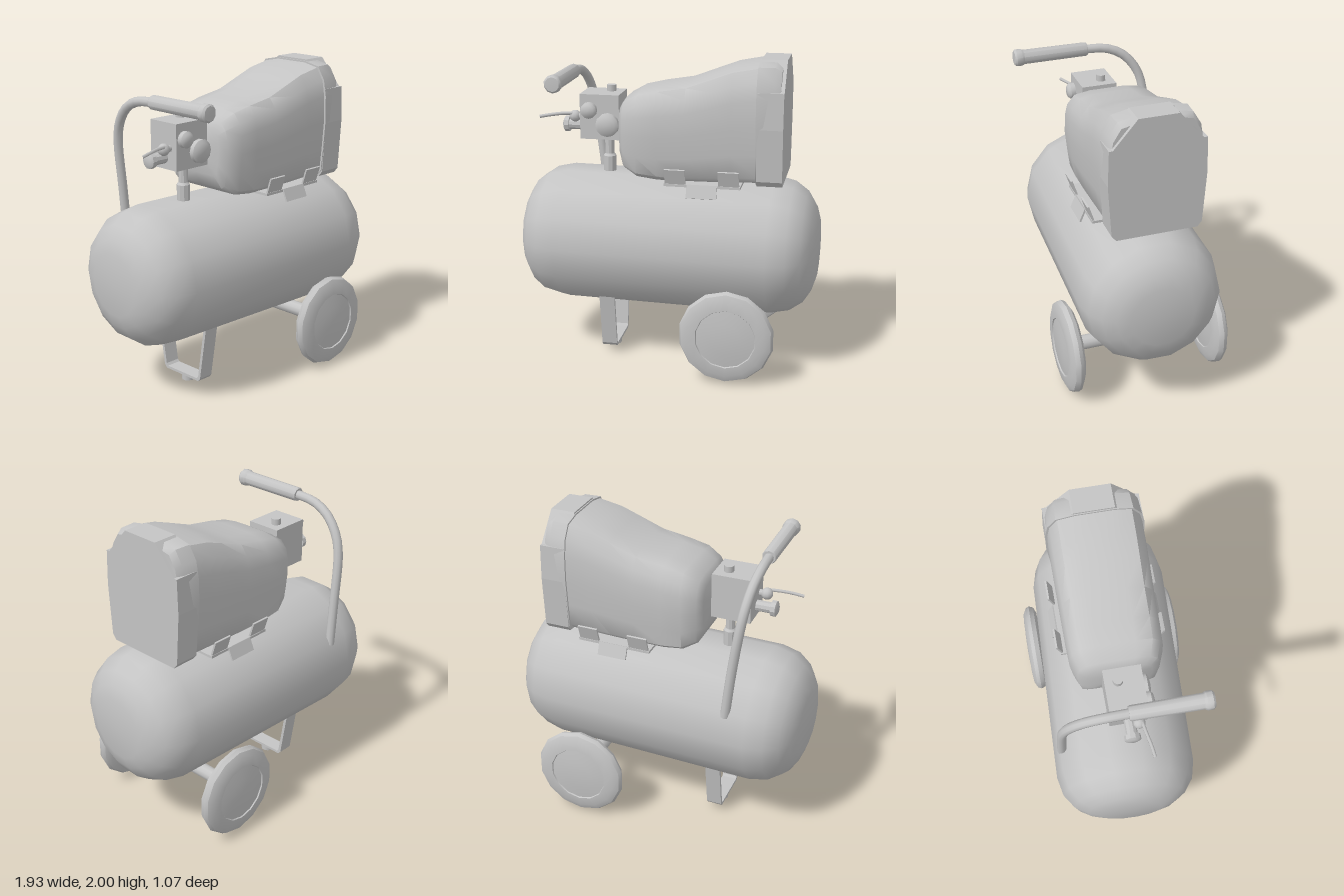
import * as THREE from 'three';
import { toCreasedNormals } from 'three/addons/utils/BufferGeometryUtils.js';

const grey = new THREE.MeshStandardMaterial({ color: 0xc4c4c4 });
const V = (x, y, z) => new THREE.Vector3(x, y, z);

export function createModel() {
  const model = new THREE.Group();

  const add = (name, geo, x = 0, y = 0, z = 0, parent = model) => {
    const mesh = new THREE.Mesh(geo, grey);
    mesh.name = name;
    mesh.position.set(x, y, z);
    parent.add(mesh);
    return mesh;
  };
  const box = (w, h, d) => new THREE.BoxGeometry(w, h, d);
  // Lathe around y from [radius, height] pairs, heights rising
  const lathe = (pts, sides, crease = 0.6) => toCreasedNormals(
    new THREE.LatheGeometry(pts.map(([r, h]) => new THREE.Vector2(r, h)), sides), crease);
  const tube = (pts, r, steps, sides) =>
    new THREE.TubeGeometry(new THREE.CatmullRomCurve3(pts), steps, r, sides);
  // Outline in the z-y plane, extruded along +x
  const extrudeX = (pts, depth) => new THREE.ExtrudeGeometry(
    new THREE.Shape(pts.map(([z, y]) => new THREE.Vector2(-z, y))),
    { depth, bevelEnabled: false }).rotateY(Math.PI / 2);
  // Mirrors half an outline across z = 0
  const mirrored = half => [...half, ...half.slice().reverse().map(([z, y]) => [-z, y])];

  // Skins one outline (fractions of width and height) over sections [x, bottom, top, halfWidth]
  const loft = (outline, sections) => {
    const pos = [], index = [], n = outline.length;
    for (const [x, bottom, top, w] of sections)
      for (const [u, v] of outline) pos.push(x, bottom + v * (top - bottom), u * w);
    for (let i = 0; i < sections.length - 1; i++)
      for (let j = 0; j < n; j++) {
        const a = i * n + j, b = i * n + (j + 1) % n, c = a + n, d = b + n;
        index.push(a, c, b, b, c, d);
      }
    const geo = new THREE.BufferGeometry();
    geo.setAttribute('position', new THREE.Float32BufferAttribute(pos, 3));
    geo.setIndex(index);
    return toCreasedNormals(geo, 0.75);
  };

  // Air tank, turned slightly off the x axis
  const end = [[0, 0.962], [0.2, 0.96], [0.28, 0.935], [0.36, 0.885], [0.42, 0.8], [0.447, 0.68]];
  const tank = add('tank', lathe([
    ...end.map(([r, h]) => [r, -h]), ...end.slice().reverse(),
  ], 14, 1).rotateZ(-Math.PI / 2), 0, 0.785, 0);
  tank.rotation.y = -0.035;

  // Wheels and axle
  const wheelProfile = [
    [0, -0.055], [0.1, -0.053], [0.188, -0.042], [0.192, -0.05], [0.25, -0.045], [0.29, -0.025],
    [0.303, 0], [0.29, 0.03], [0.25, 0.047], [0.192, 0.05], [0.188, 0.042], [0.1, 0.053], [0, 0.055],
  ];
  for (const [side, z] of [['left', 0.48], ['right', -0.48]])
    add(side + 'Wheel', lathe(wheelProfile, 14).rotateX(Math.PI / 2), 0.44, 0.312, z);
  add('axle', new THREE.CylinderGeometry(0.047, 0.047, 0.9, 12).rotateX(Math.PI / 2), 0.44, 0.317, 0);

  // Bent strap leg with a round foot
  add('leg', extrudeX([
    ...mirrored([[0.225, 0.42], [0.168, 0.065], [0.148, 0.043]]),
    ...mirrored([[0.205, 0.42], [0.15, 0.075], [0.138, 0.06]]).reverse(),
  ], 0.1), -0.44, 0, 0);
  add('foot', new THREE.CylinderGeometry(0.04, 0.04, 0.05, 10), -0.39, 0.025, 0);

  // Handle tube and its grip
  add('handle', tube([
    V(-0.53, 0.95, -0.41), V(-0.56, 1.25, -0.405), V(-0.6, 1.56, -0.39), V(-0.615, 1.68, -0.355),
    V(-0.63, 1.79, -0.27), V(-0.64, 1.85, -0.15), V(-0.64, 1.865, 0.02),
  ], 0.03, 20, 10));
  add('grip', lathe([
    [0, -0.01], [0.042, -0.01], [0.046, 0], [0.048, 0.42], [0.056, 0.435], [0.056, 0.47], [0.045, 0.482], [0, 0.485],
  ], 10, 0.7).rotateX(Math.PI / 2), -0.64, 1.865, 0);

  // Pressure switch on its post
  const control = new THREE.Group();
  control.name = 'pressureControl';
  model.add(control);
  const part = (name, geo, x, y, z) => add(name, geo, x, y, z, control);
  part('switchBox', box(0.255, 0.29, 0.23), -0.445, 1.595, 0.005);
  part('post', lathe([[0.042, 1.2], [0.042, 1.32], [0.03, 1.335], [0.03, 1.46]], 10), -0.41, 0, 0);
  part('topKnob', new THREE.CylinderGeometry(0.031, 0.031, 0.06, 10), -0.4, 1.75, -0.03);
  // Gauges on the front of the switch box
  for (const [name, r, x, y] of [['smallGauge', 0.052, -0.51, 1.64], ['largeGauge', 0.075, -0.39, 1.55]])
    part(name, lathe([[r, 0], [r, 0.035], [r * 0.7, 0.05], [0, 0.056]], 12, 0.7).rotateX(Math.PI / 2), x, y, 0.115);
  // Outlet valve and lever
  part('outlet', lathe([
    [0.035, 0], [0.035, 0.1], [0.05, 0.1], [0.05, 0.13], [0.03, 0.14], [0, 0.14],
  ], 10).rotateZ(Math.PI / 2), -0.57, 1.52, 0.01);
  part('leverJoint', new THREE.SphereGeometry(0.038, 10, 8), -0.62, 1.585, 0.06);
  part('leverStem', new THREE.CylinderGeometry(0.022, 0.022, 0.08, 8).rotateZ(Math.PI / 2), -0.585, 1.585, 0.06);
  part('lever', tube([V(-0.61, 1.605, 0.075), V(-0.7, 1.603, 0.09), V(-0.77, 1.595, 0.105), V(-0.84, 1.583, 0.115)],
    0.011, 8, 6));

  // Motor cover: rounded hood rising toward the back
  const hood = [[0, 0], [0.78, 0], [0.9, 0.05], [0.95, 0.25], [1, 0.5], [0.99, 0.72], [0.93, 0.86], [0.76, 0.97], [0.4, 1], [0, 1]];
  const hoodOutline = [...hood, ...hood.slice(1, -1).reverse().map(([u, v]) => [-u, v])];
  add('motorCover', loft(hoodOutline, [
    [-0.305, 1.53, 1.53, 0], [-0.3, 1.38, 1.68, 0.2], [-0.27, 1.3, 1.73, 0.25], [-0.18, 1.25, 1.78, 0.285],
    [-0.05, 1.235, 1.81, 0.29], [0.13, 1.235, 1.84, 0.292], [0.3, 1.24, 1.905, 0.294], [0.42, 1.245, 1.95, 0.295],
    [0.6, 1.25, 1.985, 0.295],
  ]));
  add('coverRim', loft(hoodOutline, [
    [0.575, 1.6, 1.6, 0], [0.575, 1.24, 1.99, 0.308], [0.68, 1.24, 1.99, 0.3], [0.72, 1.25, 1.965, 0.285],
    [0.72, 1.6, 1.6, 0],
  ]));
  // Faceted end panel
  add('endPanel', extrudeX(mirrored([
    [0.255, 1.235], [0.283, 1.27], [0.305, 1.6], [0.298, 1.825], [0.275, 1.825], [0.125, 2],
  ]), 0.16), 0.582, 0, 0);

  // Mounting plate with bent clips on both sides
  add('mountPlate', box(0.48, 0.016, 0.64), 0.25, 1.23, 0);
  for (const side of [1, -1]) {
    for (const x of [0.083, 0.418]) {
      const clip = add('upperClip', box(0.13, 0.11, 0.012), x, 1.283, side * 0.325);
      clip.rotation.x = side * 0.32;
    }
    const lower = add('lowerClip', box(0.19, 0.085, 0.012), 0.252, 1.2, side * 0.335);
    lower.rotation.x = -side * 0.4;
  }
  return model;
}
